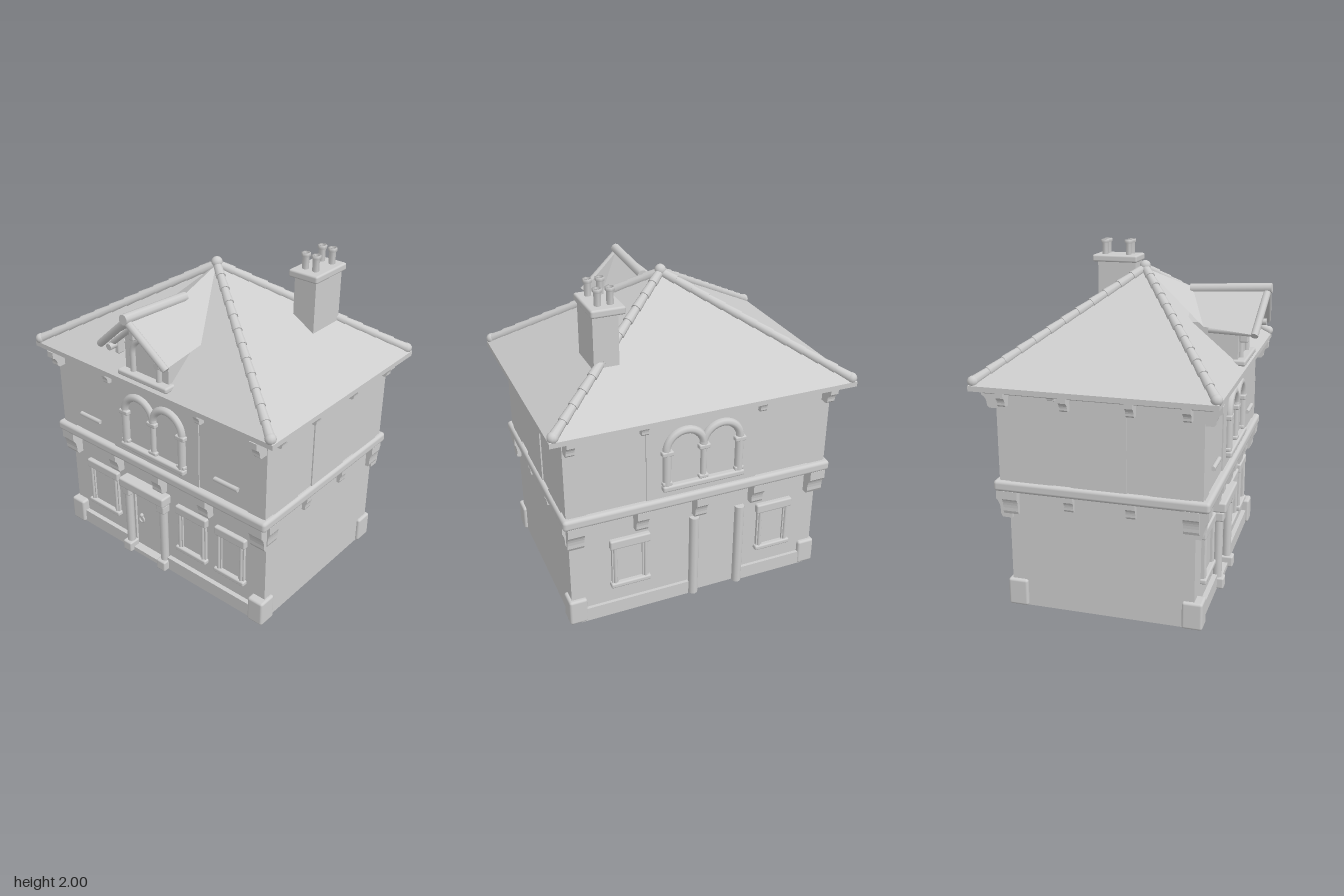
import * as THREE from 'three';
import { RoundedBoxGeometry } from 'three/addons/geometries/RoundedBoxGeometry.js';

export function createModel() {
  const root = new THREE.Group();
  const plaster = new THREE.MeshStandardMaterial({ color: 0xcccccc, side: THREE.DoubleSide });
  plaster.name = 'pale grey';
  const V = (x, y, z) => new THREE.Vector3(x, y, z);

  const add = (name, geo, parent = root) => {
    const m = new THREE.Mesh(geo, plaster);
    m.name = name;
    parent.add(m);
    return m;
  };
  // box given by its limits, rounded when r > 0
  const box = (name, x0, x1, y0, y1, z0, z1, parent = root, r = 0) => {
    const s = [x1 - x0, y1 - y0, z1 - z0];
    const m = add(name, r ? new RoundedBoxGeometry(...s, 2, r) : new THREE.BoxGeometry(...s), parent);
    m.position.set((x0 + x1) / 2, (y0 + y1) / 2, (z0 + z1) / 2);
    return m;
  };
  const rod = (name, a, b, r, parent = root, r2 = r) => {
    const m = add(name, new THREE.CylinderGeometry(r2, r, a.distanceTo(b), 10), parent);
    m.position.copy(a).lerp(b, 0.5);
    m.quaternion.setFromUnitVectors(V(0, 1, 0), b.clone().sub(a).normalize());
    return m;
  };
  // flat-shaded polygons, each a fan of corners
  const panels = (name, polys, parent = root) => {
    const pos = [];
    for (const p of polys)
      for (let i = 1; i < p.length - 1; i++) pos.push(...p[0], ...p[i], ...p[i + 1]);
    const g = new THREE.BufferGeometry();
    g.setAttribute('position', new THREE.Float32BufferAttribute(pos, 3));
    g.computeVertexNormals();
    return add(name, g, parent);
  };
  // curved support bracket; angle turns its outward side from +x
  const bracket = (name, x, y, z, angle, w, d, h) => {
    const s = new THREE.Shape();
    s.moveTo(-0.02, 0);
    s.lineTo(d, 0);
    s.lineTo(d, -0.35 * h);
    s.quadraticCurveTo(0.62 * d, -0.5 * h, 0.65 * d, -0.88 * h);
    s.lineTo(0.5 * d, -h);
    s.lineTo(-0.02, -h);
    const g = new THREE.ExtrudeGeometry(s, { depth: w, bevelEnabled: false, curveSegments: 5 });
    g.translate(0, 0, -w / 2);
    const m = add(name, g);
    m.position.set(x, y, z);
    m.rotation.y = angle;
  };
  const FRONT = -Math.PI / 2, BACK = Math.PI / 2;

  // each facade group faces outward along its own +z
  const front = new THREE.Group(), back = new THREE.Group();
  front.name = 'frontFacade';
  back.name = 'backFacade';
  front.position.z = 0.5;
  back.position.z = -0.585;
  back.rotation.y = Math.PI;
  root.add(front, back);

  // ground floor, open underneath
  const wall = new THREE.Shape([[-0.8, 0], [-0.25, 0], [-0.25, 0.52], [0.01, 0.52], [0.01, 0], [0.8, 0], [0.8, 0.74], [-0.8, 0.74]]
    .map(p => new THREE.Vector2(...p)));
  const wallGeo = new THREE.ExtrudeGeometry(wall, { depth: 0.03, bevelEnabled: false });
  wallGeo.translate(0, 0, -0.03);
  add('groundFrontWall', wallGeo, front);
  box('groundBackWall', -0.8, 0.8, 0, 0.74, -0.585, -0.56);
  for (const s of [-1, 1]) {
    const w = box('groundSideWall', -0.012, 0.012, 0, 0.74, -0.585, 0.5);
    w.position.x = s * 0.788;
    for (const [z0, z1] of [[0.43, 0.55], [-0.61, -0.49]]) {
      const b = box('cornerStone', -0.055, 0.055, 0, 0.165, z0, z1, root, 0.015);
      b.position.x = s * 0.765;
    }
  }
  box('frontPlinth', -0.75, -0.3, 0, 0.09, 0, 0.03, front);
  box('frontPlinth', 0.05, 0.75, 0, 0.09, 0, 0.03, front);
  box('backPlinth', -0.75, -0.06, 0, 0.09, 0, 0.02, back);
  box('backPlinth', 0.28, 0.75, 0, 0.09, 0, 0.02, back);

  // front door
  box('door', -0.25, 0.01, 0.03, 0.52, -0.025, -0.015, front);
  box('doorstep', -0.25, 0.01, 0, 0.03, -0.03, 0.04, front);
  box('doorLintel', -0.315, 0.065, 0.5, 0.565, -0.01, 0.075, front, 0.012);
  for (const x of [-0.275, 0.025]) {
    rod('doorPost', V(x, 0.05, 0.025), V(x, 0.51, 0.025), 0.027, front);
    box('doorPostFoot', x - 0.035, x + 0.035, 0, 0.07, -0.01, 0.07, front, 0.01);
    box('doorPostHead', x - 0.033, x + 0.033, 0.44, 0.5, 0, 0.06, front, 0.01);
    rod('backDoorPost', V(-x, 0, 0.01), V(-x, 0.56, 0.01), 0.03, back);
  }
  const knocker = add('doorKnocker', new THREE.TorusGeometry(0.022, 0.006, 6, 16), front);
  knocker.position.set(-0.205, 0.245, -0.008);
  add('knockerBoss', new THREE.SphereGeometry(0.014, 8, 6), front).position.set(-0.205, 0.275, -0.008);

  // ground floor windows
  const groundWindow = (x0, x1, parent) => {
    box('windowHead', x0, x1, 0.475, 0.535, -0.01, 0.03, parent, 0.01);
    box('windowSill', x0, x1, 0.2, 0.232, -0.01, 0.035, parent, 0.01);
    for (const x of [x0 + 0.03, x1 - 0.03]) {
      box('windowJamb', x - 0.02, x + 0.02, 0.23, 0.48, -0.01, 0.018, parent);
      rod('windowJambBead', V(x, 0.23, 0.016), V(x, 0.48, 0.016), 0.012, parent);
    }
    box('windowPane', x0 + 0.045, x1 - 0.045, 0.23, 0.48, 0.001, 0.006, parent);
  };
  for (const [a, b] of [[-0.655, -0.375], [0.125, 0.37], [0.435, 0.665]]) groundWindow(a, b, front);
  for (const [a, b] of [[-0.56, -0.31], [0.39, 0.63]]) groundWindow(a, b, back);

  // jetty beam and the upper floor
  box('jettyBeam', -0.845, 0.845, 0.715, 0.78, -0.665, 0.585, root, 0.02);
  box('upperWalls', -0.82, 0.82, 0.76, 1.33, -0.63, 0.545);
  for (const s of [-1, 1]) {
    box('sideMiddlePanel', s * 0.823 - 0.005, s * 0.823 + 0.005, 0.78, 1.3, -0.2, 0.12);
    // slanted corner braces
    const px = s * 0.826;
    panels('sideBraces', [
      [[px, 1.16, 0.48], [px, 0.78, 0.48], [px, 0.78, 0.25]],
      [[px, 1.16, -0.57], [px, 0.78, -0.57], [px, 0.78, -0.31]]]);
    for (const z of [0.55, -0.635])
      panels('cornerBrace', [[[s * 0.81, 1.08, z], [s * 0.81, 0.78, z], [s * 0.7, 0.78, z]]]);
  }

  // upper facades: centre panel and twin arched window
  for (const [f, off] of [[front, 0.045], [back, 0.045]]) {
    box('upperCentrePanel', -0.345, 0.345, 0.78, 1.3, off, off + 0.008, f);
    const z = off + 0.015;
    box('archSill', -0.255, 0.255, 0.83, 0.868, off, off + 0.045, f, 0.012);
    for (const x of [-0.225, 0, 0.225]) {
      const r = x ? 0.025 : 0.018;
      rod('archColumn', V(x, 0.86, z), V(x, 1.08, z), r, f);
      box('columnHead', x - 0.035, x + 0.035, 1.06, 1.09, off, off + 0.04, f, 0.008);
      box('columnFoot', x - 0.03, x + 0.03, 0.865, 0.89, off, off + 0.035, f, 0.008);
    }
    for (const x of [-0.113, 0.113])
      add('windowArch', new THREE.TorusGeometry(0.115, 0.024, 8, 20, Math.PI), f).position.set(x, 1.085, z);
  }
  for (const s of [-1, 1])
    rod('wallRail', V(s * 0.465, 0.9, 0.055), V(s * 0.635, 0.9, 0.055), 0.014, front);

  // brackets under the jetty and under the eaves
  for (const [z, a] of [[0.5, FRONT], [-0.585, BACK]]) {
    for (const x of [-0.37, 0, 0.37]) bracket('jettyBracket', x, 0.72, z, a, 0.075, 0.075, 0.14);
    for (const x of [-0.77, 0.77]) bracket('jettyCornerBracket', x, 0.72, z, a, 0.1, 0.075, 0.165);
  }
  for (const [z, a] of [[0.545, FRONT], [-0.63, BACK]]) {
    for (const s of [-1, 1]) {
      bracket('eaveCornerBracket', s * 0.79, 1.31, z, a, 0.05, 0.09, 0.11);
      bracket('eaveBracket', s * 0.36, 1.31, z, a, 0.04, 0.06, 0.085);
      for (const x of [0.45, 0.7]) bracket('eaveBlock', s * x, 1.31, z, a, 0.045, 0.04, 0.035);
    }
    bracket('eaveBlock', 0, 1.31, z, a, 0.045, 0.04, 0.035);
  }
  for (const [s, a] of [[1, 0], [-1, Math.PI]]) {
    for (const z of [0.14, -0.22]) bracket('jettySideBracket', s * 0.8, 0.72, z, a, 0.055, 0.035, 0.09);
    for (const z of [0.48, -0.57]) bracket('jettySideBracket', s * 0.8, 0.72, z, a, 0.09, 0.04, 0.14);
    for (const z of [0.46, 0.15, -0.22, -0.58]) bracket('eaveSideBracket', s * 0.82, 1.31, z, a, 0.045, 0.07, 0.085);
    bracket('eaveSideBlock', s * 0.82, 1.31, -0.3, a, 0.04, 0.04, 0.035);
  }
  box('eaveBeam', -0.87, 0.87, 1.295, 1.325, -0.69, 0.6, root, 0.01);

  // hipped roof with a thin eave edge
  const apex = [0, 1.885, -0.01];
  const rim = [[-0.915, 0.635], [0.915, 0.635], [0.915, -0.75], [-0.915, -0.75]];
  rim.forEach(([x, z], i) => {
    const [x2, z2] = rim[(i + 1) % 4];
    panels('roofSlope', [
      [[x, 1.345, z], [x2, 1.345, z2], apex],
      [[x, 1.315, z], [x2, 1.315, z2], [x2, 1.345, z2], [x, 1.345, z]]]);
    // overlapping hip tiles
    const a = V(x * 0.97, 1.365, z * 0.97), b = V(0, 1.89, -0.01), n = 12;
    for (let k = 0; k < n; k++)
      rod('hipTile', a.clone().lerp(b, k / n), a.clone().lerp(b, (k + 1.1) / n), 0.029, root, 0.023);
    add('hipEnd', new THREE.SphereGeometry(0.032, 10, 8)).position.copy(a);
  });
  panels('roofUnderside', [rim.map(([x, z]) => [x, 1.315, z]).reverse()]);
  add('roofFinial', new THREE.SphereGeometry(0.034, 12, 10)).position.set(0, 1.9, -0.01);

  // chimney with four six-sided pots
  box('chimneyStack', 0.42, 0.565, 1.5, 1.88, -0.45, -0.195);
  box('chimneyCap', 0.385, 0.58, 1.86, 1.905, -0.478, -0.178, root, 0.012);
  for (const x of [0.45, 0.52]) for (const z of [-0.41, -0.25]) {
    const pot = [[0.02, 1.9], [0.02, 1.975], [0.027, 1.98], [0.027, 2], [0.016, 2], [0.016, 1.94], [0, 1.94]];
    add('chimneyPot', new THREE.LatheGeometry(pot.map(p => new THREE.Vector2(...p)), 6)).position.set(x, 0, z);
  }

  // dormer: gabled wall with an arched window
  const dormer = new THREE.Group();
  dormer.name = 'dormer';
  root.add(dormer);
  const gable = new THREE.Shape([[-0.165, 1.38], [0.165, 1.38], [0.165, 1.61], [0, 1.76], [-0.165, 1.61]]
    .map(p => new THREE.Vector2(...p)));
  const gableGeo = new THREE.ExtrudeGeometry(gable, { depth: 0.3, bevelEnabled: false });
  gableGeo.translate(0, 0, 0.29);
  add('dormerWall', gableGeo, dormer);
  box('dormerSill', -0.19, 0.19, 1.37, 1.405, 0.56, 0.64, dormer, 0.012);
  add('dormerArch', new THREE.TorusGeometry(0.1, 0.018, 8, 20, Math.PI), dormer).position.set(0, 1.52, 0.595);
  for (const s of [-1, 1]) {
    rod('dormerJamb', V(s * 0.1, 1.4, 0.595), V(s * 0.1, 1.52, 0.595), 0.018, dormer);
    // roof sheet, verge board, eave rail and hanging post
    panels('dormerRoof', [
      [[0, 1.8, 0.73], [s * 0.25, 1.57, 0.7], [s * 0.235, 1.6, 0.4], [0, 1.785, 0.28]],
      [[0, 1.785, 0.28], [s * 0.235, 1.6, 0.4], [0, 1.885, 0]]], dormer);
    rod('vergeBoard', V(0, 1.785, 0.725), V(s * 0.25, 1.565, 0.695), 0.022, dormer);
    rod('dormerRafter', V(0, 1.735, 0.68), V(s * 0.2, 1.565, 0.66), 0.016, dormer);
    rod('dormerEaveRail', V(s * 0.18, 1.565, 0.7), V(s * 0.18, 1.575, 0.42), 0.02, dormer);
    box('dormerHangingPost', s * 0.17 - 0.016, s * 0.17 + 0.016, 1.51, 1.61, 0.6, 0.65, dormer, 0.008);
  }
  box('dormerKingPost', -0.018, 0.018, 1.66, 1.76, 0.66, 0.7, dormer, 0.008);
  rod('dormerRidge', V(0, 1.8, 0.75), V(0, 1.775, 0.27), 0.03, dormer);

  return root;
}
